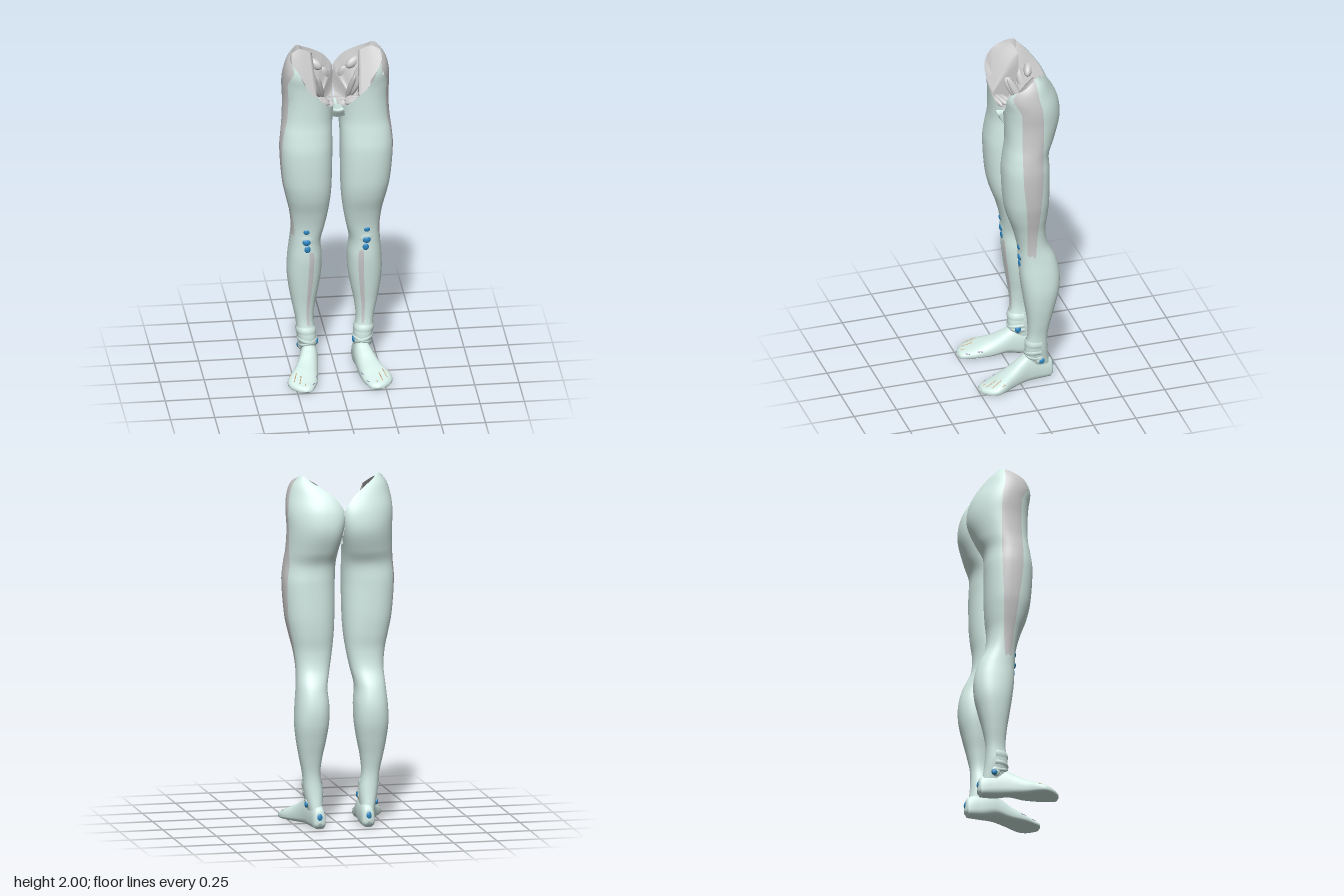
import * as THREE from 'three';

const mat = (color) => new THREE.MeshStandardMaterial({ color, side: THREE.DoubleSide });
const SKIN = mat(0xd4ebe5), GREY = mat(0xcccccc), BLUE = mat(0x2a86c0), TAN = mat(0xd9a877), PURPLE = mat(0x9a86b8);
const RAD = Math.PI / 180;
const spow = (v, e) => Math.sign(v) * Math.abs(v) ** e;

// Smooth (Hermite) lookup in rows whose first number is the key
function lookup(rows, t) {
  const n = rows.length - 1;
  t = THREE.MathUtils.clamp(t, rows[0][0], rows[n][0]);
  let i = 0;
  while (i < n - 1 && t > rows[i + 1][0]) i++;
  const a = rows[i], b = rows[i + 1], h = b[0] - a[0], s = (t - a[0]) / h;
  const p = rows[Math.max(i - 1, 0)], q = rows[Math.min(i + 2, n)];
  return a.slice(1).map((v, k) => {
    const w = b[k + 1];
    const m0 = (w - p[k + 1]) / (b[0] - p[0]) * h, m1 = (q[k + 1] - v) / (q[0] - a[0]) * h;
    return v * (2 * s ** 3 - 3 * s * s + 1) + m0 * (s ** 3 - 2 * s * s + s)
      + w * (3 * s * s - 2 * s ** 3) + m1 * (s ** 3 - s * s);
  });
}

// Surface from a rule: point(row 0..1, column index)
function loft(rows, cols, closed, point) {
  const pos = [], idx = [], w = closed ? cols : cols + 1;
  for (let r = 0; r <= rows; r++)
    for (let c = 0; c < w; c++) pos.push(...point(r / rows, c));
  for (let r = 0; r < rows; r++)
    for (let c = 0; c < cols; c++) {
      const a = r * w + c, b = r * w + (c + 1) % w;
      idx.push(a, b, b + w, a, b + w, a + w);
    }
  const g = new THREE.BufferGeometry();
  g.setAttribute('position', new THREE.Float32BufferAttribute(pos, 3));
  g.setIndex(idx);
  g.computeVertexNormals();
  return g;
}

// Leg cross-sections: height, inner x, outer x, front z, back z
const LEG = [
  [0.1, 0.11, 0.19, -0.05, -0.178], [0.2, 0.105, 0.212, -0.035, -0.165], [0.3, 0.12, 0.22, -0.05, -0.162],
  [0.4, 0.11, 0.24, -0.045, -0.18], [0.5, 0.09, 0.258, -0.03, -0.205], [0.6, 0.075, 0.268, -0.015, -0.227],
  [0.7, 0.073, 0.264, -0.003, -0.23], [0.8, 0.08, 0.255, 0, -0.207], [0.9, 0.06, 0.251, 0.01, -0.162],
  [1.0, 0.042, 0.262, 0.035, -0.15], [1.1, 0.03, 0.285, 0.07, -0.16], [1.2, 0.025, 0.305, 0.09, -0.166],
  [1.4, 0.022, 0.32, 0.1, -0.166], [1.5, 0.022, 0.313, 0.088, -0.168], [1.58, 0.018, 0.304, 0.077, -0.205],
  [1.7, 0, 0.3, 0.078, -0.246], [1.8, -0.02, 0.304, 0.085, -0.24], [1.88, 0, 0.297, 0.094, -0.207],
  [1.95, 0.05, 0.276, 0.062, -0.155], [2.0, 0.14, 0.238, -0.005, -0.1],
];
// Height of the open upper edge by angle (0 front, 90 outside, 180 back)
const RIM = [[-90, 1.655], [-45, 1.67], [0, 1.77], [25, 1.86], [45, 1.91], [60, 1.94], [90, 1.985], [120, 2.0],
  [165, 2.0], [182, 1.97], [195, 1.92], [208, 1.87], [222, 1.81], [240, 1.68], [270, 1.655]];
// Front and back z of the outer thigh band by height
const BAND = [[0.8, -0.03, -0.07], [1.0, -0.02, -0.08], [1.2, 0, -0.09], [1.4, 0.02, -0.1],
  [1.8, 0.02, -0.1], [1.9, 0.06, -0.08], [2.0, -0.03, -0.07]];
const E = 0.88, COLS = 80, BASE = 0.1;

function legPoint(y, angle, grow = 0) {
  const [xi, xo, zf, zb] = lookup(LEG, y);
  const s = spow(Math.sin(angle), E), c = spow(Math.cos(angle), E);
  // The buttock leans towards the middle
  const lean = 0.05 * THREE.MathUtils.smoothstep(y, 1.35, 1.72) * (1 - THREE.MathUtils.smoothstep(y, 1.88, 2));
  const x = (xi + xo) / 2 + ((xo - xi) / 2 + grow) * s - lean * Math.max(0, -c) ** 1.5;
  return [Math.max(x, 0), y, (zf + zb) / 2 + ((zf - zb) / 2 + grow) * c];
}

function columnAngle(c, bandA, bandB) {
  const k = [[0, -90], [14, -24], [18, -7], [34, bandA], [44, bandB], [COLS, 270]];
  let i = 0;
  while (i < 4 && c > k[i + 1][0]) i++;
  return THREE.MathUtils.mapLinear(c, k[i][0], k[i + 1][0], k[i][1], k[i + 1][1]);
}

function skinPoint(t, c) {
  const rim = lookup(RIM, columnAngle(c, 60, 110))[0];
  const y = BASE + (rim - BASE) * t;
  const [, , zf, zb] = lookup(LEG, y);
  const [a, b] = lookup(BAND, y).map((z) => {
    const q = THREE.MathUtils.clamp((z - (zf + zb) / 2) / ((zf - zb) / 2), -0.93, 0.93);
    return Math.acos(spow(q, 1 / E)) / RAD;
  });
  return legPoint(y, columnAngle(c, a, b) * RAD);
}

// Foot sections: z, inner x, outer x, top
const FOOT = [
  [-0.205, 0.125, 0.16, 0.075], [-0.192, 0.107, 0.175, 0.11], [-0.12, 0.1, 0.19, 0.15], [-0.05, 0.1, 0.205, 0.165],
  [0, 0.105, 0.222, 0.14], [0.06, 0.113, 0.25, 0.105], [0.12, 0.121, 0.285, 0.08], [0.16, 0.129, 0.296, 0.062],
  [0.2, 0.145, 0.283, 0.046], [0.232, 0.16, 0.252, 0.034], [0.25, 0.178, 0.225, 0.022],
];
function footPoint(t, c, cols) {
  const z = -0.205 + 0.455 * t, [xi, xo, top] = lookup(FOOT, z);
  const end = t === 0 || t === 1 ? 0.02 : 1;
  const a = -Math.PI / 2 + c / cols * Math.PI * 2;
  const side = spow(Math.cos(a), 0.75), up = spow(Math.sin(a), Math.sin(a) < 0 ? 0.6 : 1);
  const arch = 0.02 * Math.exp(-(((z + 0.02) / 0.06) ** 2)) * (0.5 - side / 2);
  const low = (z < -0.19 ? 0.015 : 0) + arch;
  const mid = low + (top - low) * 0.4;
  return [(xi + xo) / 2 + (xo - xi) / 2 * side * end, mid + (up > 0 ? top - mid : mid - low) * up * end, z];
}

function add(group, name, geometry, material) {
  const m = new THREE.Mesh(geometry, material);
  m.name = name;
  group.add(m);
  return m;
}
function lump(group, name, [x, y, z], [sx, sy, sz], material, tilt = [0, 0, 0]) {
  const m = add(group, name, new THREE.SphereGeometry(1, 20, 14), material);
  m.position.set(x, y, z);
  m.scale.set(sx, sy, sz);
  m.rotation.set(...tilt);
}

function createLeg() {
  const leg = new THREE.Group();

  // Leg surface, divided into skin, outer thigh band and shin strip
  const full = loft(120, COLS, true, skinPoint), src = full.index.array, p = full.attributes.position;
  const parts = { legSkin: [], outerThighBand: [], shinBone: [] };
  for (let q = 0; q < src.length; q += 6) {
    const c = (q / 6) % COLS, y = p.getY(src[q]);
    const part = c >= 34 && c < 44 && y > 0.84 ? 'outerThighBand'
      : c >= 14 && c < 18 && y > 0.27 && y < 0.74 ? 'shinBone' : 'legSkin';
    parts[part].push(...src.slice(q, q + 6));
  }
  for (const [name, index] of Object.entries(parts)) {
    const g = new THREE.BufferGeometry();
    g.setAttribute('position', p);
    g.setAttribute('normal', full.attributes.normal);
    g.setIndex(index);
    add(leg, name, g, name === 'legSkin' ? SKIN : GREY);
  }

  // Hollow hip: folded wall sinking from the rim
  add(leg, 'hipCavity', loft(14, COLS, true, (t, c) => {
    const [x, y, z] = skinPoint(1, c), k = t * 0.95;
    const fold = 0.01 * Math.sin(c * 0.9 + t * 3) * Math.sin(Math.PI * t);
    return [x + (0.1 - x) * k, y + (1.66 - y) * t ** 0.9 + fold, z + (-0.03 - z) * k];
  }), GREY);

  // Sloping hip face from the front edge up to the ridge, with an inner side wall
  const front = [[0.12, 1.74, 0.065], [0.2, 1.81, 0.07], [0.26, 1.87, 0.06]];
  const ridge = [[0.13, 1.95, -0.09], [0.2, 1.985, -0.075], [0.25, 1.975, -0.045]];
  add(leg, 'hipFace', loft(12, 12, false, (t, c) => {
    const [y0, z0] = lookup(front, 0.12 + 0.14 * Math.max(0, c - 4) / 8);
    const x1 = 0.13 + 0.12 * Math.max(0, c - 4) / 8, [y1, z1] = lookup(ridge, x1);
    const x0 = x1 - 0.01 + 0.02 * (x1 - 0.13) / 0.12;
    const y = y0 + (y1 - y0) * t + 0.02 * Math.sin(Math.PI * t);
    const wall = Math.max(0, 4 - c) / 4;
    return [x0 + (x1 - x0) * t, y + (1.69 - y) * wall, z0 + (z1 - z0) * t];
  }), GREY);

  // Slender cut muscles beside it
  const muscles = [
    [[0.085, 1.74, -0.06], [0.016, 0.1, 0.022], [0.45, 0, -0.2]],
    [[0.11, 1.75, -0.05], [0.016, 0.09, 0.03], [0.5, 0, -0.3]],
    [[0.125, 1.79, -0.1], [0.02, 0.08, 0.022], [0.3, 0.4, -0.4]],
    [[0.11, 1.86, -0.14], [0.05, 0.03, 0.025], [0, 0.4, 0.5]],
    [[0.06, 1.78, -0.165], [0.035, 0.05, 0.018], [0.2, 0, 0]],
    [[0.09, 1.7, 0.025], [0.055, 0.016, 0.018], [0, -0.5, 0.2]],
    [[0.085, 1.7, 0.05], [0.05, 0.016, 0.014], [0, -0.4, 0.3]],
    [[0.09, 1.7, 0], [0.045, 0.016, 0.016], [0, -0.5, 0.2]],
  ];
  muscles.forEach(([at, size, tilt]) => lump(leg, 'hipMuscle', at, size, GREY, tilt));

  // Foot
  add(leg, 'foot', loft(70, 40, true, (t, c) => footPoint(t, c, 40)), SKIN);

  // Ankle straps, wrapping the front
  const strap = (name, y, drop, height) => add(leg, name, loft(4, 30, false, (t, c) => {
    const a = (-100 + c / 30 * 200) * RAD;
    return legPoint(y + height * t + drop * Math.sin(a), a, 0.002 + 0.004 * Math.sin(Math.PI * t));
  }), SKIN);
  strap('upperAnkleStrap', 0.225, 0, 0.04);
  strap('lowerAnkleStrap', 0.165, 0.015, 0.025);
  strap('crossAnkleStrap', 0.16, -0.02, 0.02);

  // Ankle bones and kneecap
  lump(leg, 'innerAnkleBone', [0.114, 0.17, -0.09], [0.013, 0.035, 0.03], SKIN);
  lump(leg, 'outerAnkleBone', [0.194, 0.145, -0.11], [0.014, 0.035, 0.026], SKIN);
  lump(leg, 'kneecap', [0.165, 0.84, -0.015], [0.045, 0.055, 0.02], SKIN);

  // Blue cushions at knee, ankle and heel
  const cushions = [
    [[0.17, 0.885, 0.003], [0.019, 0.017, 0.01]], [[0.17, 0.818, -0.001], [0.023, 0.021, 0.012]],
    [[0.165, 0.773, -0.004], [0.018, 0.022, 0.01]], [[0.106, 0.17, -0.08], [0.011, 0.02, 0.018]],
    [[0.201, 0.133, -0.12], [0.011, 0.018, 0.018]], [[0.142, 0.068, -0.195], [0.017, 0.024, 0.012]],
  ];
  cushions.forEach(([at, size]) => lump(leg, 'cushion', at, size, BLUE));

  // Tendons on the foot
  const footTop = (x, z) => {
    const [xi, xo, top] = lookup(FOOT, z), s = Math.min(Math.abs((x - (xi + xo) / 2) / ((xo - xi) / 2)), 1);
    return top * (0.4 + 0.6 * Math.sqrt(1 - s ** (2 / 0.75)));
  };
  const tendon = (name, x0, z0, x1, z1, material) => {
    const pts = [0, 0.5, 1].map((k) => {
      const x = x0 + (x1 - x0) * k, z = z0 + (z1 - z0) * k;
      return new THREE.Vector3(x, footTop(x, z), z);
    });
    add(leg, name, new THREE.TubeGeometry(new THREE.CatmullRomCurve3(pts), 10, 0.0022, 6), material);
  };
  tendon('toeTendon', 0.22, 0.155, 0.235, 0.215, TAN);
  tendon('toeTendon', 0.243, 0.13, 0.263, 0.19, TAN);
  tendon('toeTendon', 0.272, 0.115, 0.28, 0.135, TAN);
  tendon('toeTendon', 0.2, 0.21, 0.205, 0.226, TAN);
  tendon('bigToeTendon', 0.125, 0.12, 0.136, 0.15, PURPLE);
  tendon('bigToeTendon', 0.146, 0.19, 0.162, 0.212, PURPLE);
  return leg;
}

export function createModel() {
  const model = new THREE.Group();
  model.name = 'legs';
  for (const side of [1, -1]) {
    const leg = createLeg();
    leg.name = side > 0 ? 'leftLeg' : 'rightLeg';
    leg.scale.x = side;
    model.add(leg);
  }
  // Skin bridge between the thighs, wider at its ends
  const path = new THREE.CatmullRomCurve3([[1.61, 0.045], [1.665, 0.075], [1.66, 0.02], [1.65, -0.05], [1.655, -0.115],
    [1.61, -0.12]].map(([y, z]) => new THREE.Vector3(0, y, z)));
  add(model, 'pelvicBridge', loft(30, 8, false, (t, c) => {
    const { y, z } = path.getPoint(t), u = c / 4 - 1;
    return [u * (0.024 + 0.07 * (t - 0.5) ** 2), y + 0.008 * u * u, z];
  }), SKIN);
  return model;
}
